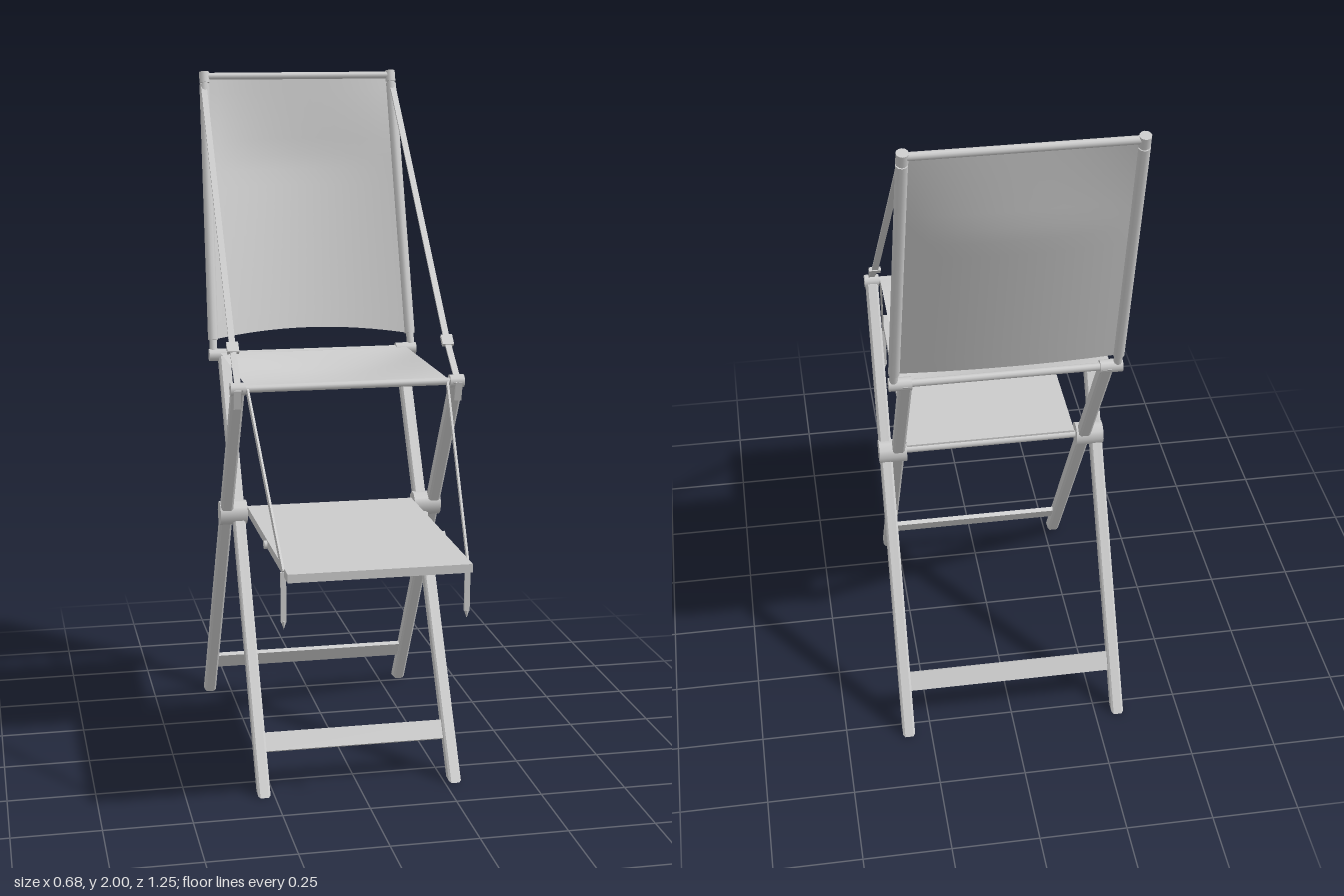
import * as THREE from 'three';

const V = (x, y, z) => new THREE.Vector3(x, y, z);

export function createModel() {
  const group = new THREE.Group();
  const grey = new THREE.MeshStandardMaterial({ color: 0xcccccc });
  const flat = new THREE.MeshStandardMaterial({ color: 0xcccccc, flatShading: true });
  const cloth = new THREE.MeshStandardMaterial({ color: 0xcccccc, side: THREE.DoubleSide });

  const add = (name, geometry, material = grey) => {
    const mesh = new THREE.Mesh(geometry, material);
    mesh.name = name;
    group.add(mesh);
    return mesh;
  };
  // Round rod between two points
  const rod = (name, a, b, r, sides = 12) => {
    const mesh = add(name, new THREE.CylinderGeometry(r, r, a.distanceTo(b), sides));
    mesh.position.copy(a).lerp(b, 0.5);
    mesh.quaternion.setFromUnitVectors(V(0, 1, 0), b.clone().sub(a).normalize());
    return mesh;
  };
  // Flat strap between two points: w is its size in x, t its size across
  const strap = (name, a, b, w, t) => {
    const mesh = add(name, new THREE.BoxGeometry(w, t, a.distanceTo(b)), flat);
    mesh.position.copy(a).lerp(b, 0.5);
    mesh.lookAt(b);
    return mesh;
  };
  // Cloth from a rule that maps (u, v), u across -1..1 and v along 0..1, to a point
  const sheet = (name, rule) => {
    const g = new THREE.PlaneGeometry(2, 1, 16, 16);
    const p = g.attributes.position;
    for (let i = 0; i < p.count; i++) {
      const q = rule(p.getX(i), p.getY(i) + 0.5);
      p.setXYZ(i, q.x, q.y, q.z);
    }
    g.computeVertexNormals();
    return add(name, g, cloth);
  };

  const seatY = 1.15, frontZ = 0.18, backZ = -0.36, pivotY = 0.72, pivotZ = -0.09;
  const topY = 1.985, topZ = -0.608;

  // Slanted leg with chamfered edges and a foot cut level with the ground
  const leg = (name, x, zTop, zFoot) => {
    const h = 0.021, s = new THREE.Shape();
    s.moveTo(zFoot - h, 0);
    s.lineTo(zFoot + h, 0);
    s.lineTo(zTop + h, seatY);
    s.lineTo(zTop - h, seatY);
    const c = 0.006;
    const g = new THREE.ExtrudeGeometry(s, {
      depth: 0.036 - 2 * c, bevelEnabled: true, bevelThickness: c, bevelSize: c, bevelOffset: -c, bevelSegments: 1,
    });
    g.rotateY(-Math.PI / 2);
    g.translate(x + 0.018 - c, 0, 0);
    add(name, g, flat);
  };

  for (const s of [-1, 1]) {
    // Crossed legs and their pivot
    leg('rearLeg', s * 0.317, frontZ, -0.535);
    leg('frontLeg', s * 0.28, backZ, 0.352);
    rod('legPivot', V(s * 0.256, pivotY, pivotZ), V(s * 0.337, pivotY, pivotZ), 0.036, 10);

    // Sleeves where the seat rails meet the legs
    rod('frontRailSleeve', V(s * 0.296, seatY, frontZ), V(s * 0.338, seatY, frontZ), 0.019);
    rod('backRailSleeve', V(s * 0.262, seatY, backZ), V(s * 0.326, seatY, backZ), 0.019);

    // Back post with its top cap
    rod('backPost', V(s * 0.312, seatY, backZ), V(s * 0.296, topY, topZ), 0.012);
    rod('postCap', V(s * 0.2965, 1.965, -0.602), V(s * 0.296, 1.998, -0.612), 0.016);

    // Strap from the seat front to the top of the back, with its buckle
    const top = V(s * 0.3, 1.965, -0.602), buckle = V(s * 0.315, 1.25, 0.075);
    strap('backStrap', buckle, top, 0.018, 0.006);
    strap('backStrapEnd', V(s * 0.317, seatY + 0.015, frontZ), buckle, 0.018, 0.006);
    strap('strapBuckle', V(s * 0.315, 1.238, 0.09), V(s * 0.315, 1.262, 0.064), 0.034, 0.012);
    strap('strapLoop', V(s * 0.32, seatY, 0.2), V(s * 0.32, 1.095, 0.186), 0.02, 0.008);

    // Strap that holds up the footrest, with a loose end below
    const hook = V(s * 0.255, 0.725, 0.56);
    strap('footrestStrap', V(s * 0.29, seatY, frontZ), hook, 0.006, 0.018);
    strap('footrestStrapEnd', hook, V(s * 0.254, 0.585, 0.56), 0.008, 0.015);
    const tip = add('strapTip', new THREE.ConeGeometry(0.008, 0.024, 4), flat);
    tip.rotation.x = Math.PI;
    tip.position.set(s * 0.254, 0.576, 0.56);
    rod('footrestPin', V(s * 0.245, 0.722, 0.28), V(s * 0.262, 0.722, 0.28), 0.012);
  }

  // Rails of the seat and the back
  rod('frontSeatRail', V(-0.334, seatY, frontZ), V(0.334, seatY, frontZ), 0.011);
  rod('backSeatRail', V(-0.322, seatY, backZ), V(0.322, seatY, backZ), 0.011);
  rod('topRail', V(-0.3, topY, topZ), V(0.3, topY, topZ), 0.011);
  rod('pivotRod', V(-0.27, pivotY, pivotZ), V(0.27, pivotY, pivotZ), 0.011);

  // Planks between the feet, lying along each leg pair
  const plank = (name, x, dir, z) => {
    const mesh = add(name, new THREE.BoxGeometry(2 * x, 0.055, 0.014), flat);
    mesh.position.set(0, 0.128, z);
    mesh.rotation.x = dir * 0.557;
  };
  plank('frontStretcher', 0.27, -1, 0.273);
  plank('rearStretcher', 0.305, 1, -0.455);

  // Footrest board
  const board = add('footrest', new THREE.BoxGeometry(0.506, 0.024, 0.715), flat);
  board.position.set(0, 0.724, 0.2635);

  // Seat cloth, sagging most toward the back
  sheet('seatCloth', (u, v) => {
    const along = v < 0.65 ? v / 0.65 : (1 - v) / 0.35;
    const sag = 0.045 * Math.sin(along * Math.PI / 2) * (1 - Math.abs(u) ** 2);
    return V(u * 0.292, seatY + 0.008 - sag, THREE.MathUtils.lerp(frontZ, backZ, v));
  });

  // Back cloth, bowed backward between the posts and arched along its bottom edge
  sheet('backCloth', (u, v) => {
    const bow = 1 - u * u;
    const y = THREE.MathUtils.lerp(1.195 + 0.022 * bow, topY, v);
    const t = (y - seatY) / (topY - seatY);
    const sag = 0.038 * bow * Math.min(1, (1 - v) * 3);
    return V(u * THREE.MathUtils.lerp(0.312, 0.296, t), y, THREE.MathUtils.lerp(backZ, topZ, t) - sag);
  });

  // Hems wrapped around the back posts
  for (const s of [-1, 1]) {
    rod('backHem', V(s * 0.311, 1.195, -0.374), V(s * 0.297, 1.96, -0.6), 0.016, 10);
  }

  return group;
}
